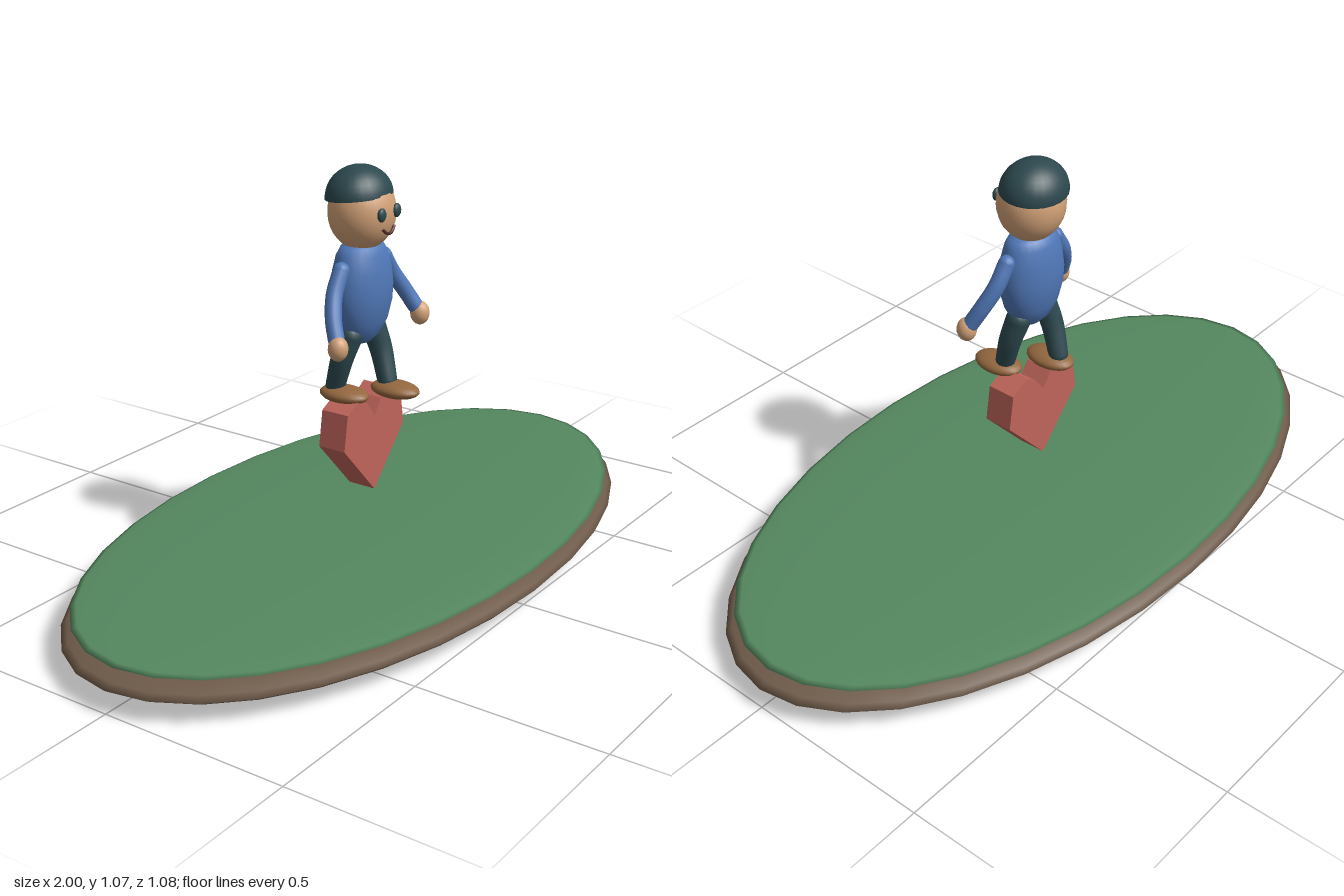
import * as THREE from 'three';

const mat = (name, color, opts = {}) => {
  const m = new THREE.MeshStandardMaterial({ color, ...opts });
  m.name = name;
  return m;
};

export function createModel() {
  const model = new THREE.Group();
  model.name = 'walkerOnHeart';

  const soil = mat('soilBrown', 0x6e5a49);
  const grass = mat('grassGreen', 0x54885f);
  const heartRed = mat('heartRed', 0xbf655a, { flatShading: true });
  const shirt = mat('shirtBlue', 0x5078b8);
  const skin = mat('skin', 0xd3a278);
  const dark = mat('darkTeal', 0x2c484e, { side: THREE.DoubleSide });
  const leather = mat('shoeBrown', 0x94683f);
  const lip = mat('mouthBrown', 0x55302a);

  const add = (name, geo, material, parent = model) => {
    const mesh = new THREE.Mesh(geo, material);
    mesh.name = name;
    parent.add(mesh);
    return mesh;
  };
  const ellipsoid = (name, material, [x, y, z], [rx, ry, rz], w = 24, h = 16, parent = model) => {
    const mesh = add(name, new THREE.SphereGeometry(1, w, h), material, parent);
    mesh.position.set(x, y, z);
    mesh.scale.set(rx, ry, rz);
    return mesh;
  };

  // Tapered tube along a curve, with rounded ends
  const limb = (name, material, points, r0, r1) => {
    const group = new THREE.Group();
    group.name = name;
    const path = new THREE.CatmullRomCurve3(points.map(p => new THREE.Vector3(...p)));
    const segs = 14, radial = 14;
    const geo = new THREE.TubeGeometry(path, segs, 1, radial, false);
    const pos = geo.attributes.position, v = new THREE.Vector3();
    for (let i = 0; i <= segs; i++) {
      const c = path.getPointAt(i / segs);
      const r = THREE.MathUtils.lerp(r0, r1, i / segs);
      for (let j = 0; j <= radial; j++) {
        const k = i * (radial + 1) + j;
        v.fromBufferAttribute(pos, k).sub(c).multiplyScalar(r).add(c);
        pos.setXYZ(k, v.x, v.y, v.z);
      }
    }
    add(name + 'Tube', geo, material, group);
    ellipsoid(name + 'Top', material, points[0], [r0, r0, r0], 14, 10, group);
    ellipsoid(name + 'End', material, points[points.length - 1], [r1, r1, r1], 14, 10, group);
    model.add(group);
  };

  // Oval island
  ellipsoid('soil', soil, [0, 0.059, 0], [1, 0.059, 0.54], 32, 16);
  ellipsoid('grass', grass, [0, 0.103, 0], [0.97, 0.018, 0.525], 32, 16);

  // Faceted heart
  const half = [[0.135, 0.352], [0.12, 0.447], [0.065, 0.475], [0.03, 0.452]];
  const outline = [[0, 0.205], ...half, [0, 0.412], ...half.slice().reverse().map(([x, y]) => [-x, y])];
  const heart = new THREE.Shape(outline.map(p => new THREE.Vector2(...p)));
  const heartGeo = new THREE.ExtrudeGeometry(heart, { depth: 0.08, bevelEnabled: false });
  add('heart', heartGeo.translate(0, 0, -0.04), heartRed);

  // Torso, flattened front to back
  const profile = [[0, 0.604], [0.03, 0.61], [0.058, 0.63], [0.083, 0.668], [0.097, 0.715],
    [0.1, 0.76], [0.094, 0.805], [0.082, 0.845], [0.068, 0.866], [0.04, 0.872], [0, 0.874]];
  const torso = add('torso', new THREE.LatheGeometry(profile.map(p => new THREE.Vector2(...p)), 24), shirt);
  torso.scale.z = 0.69;

  // Head and cap
  ellipsoid('head', skin, [0, 0.953, 0], [0.091, 0.1, 0.086]);
  const cap = add('cap', new THREE.SphereGeometry(1, 24, 10, 0, Math.PI * 2, 0, Math.PI / 2), dark);
  cap.position.set(0, 0.99, -0.008);
  cap.scale.set(0.095, 0.08, 0.083);
  cap.rotation.x = -0.1;

  // Smile
  const smile = new THREE.QuadraticBezierCurve3(
    new THREE.Vector3(-0.026, 0.922, 0.08), new THREE.Vector3(0, 0.89, 0.087), new THREE.Vector3(0.026, 0.922, 0.08));
  add('mouth', new THREE.TubeGeometry(smile, 12, 0.004, 8), lip);

  for (const s of [1, -1]) {
    const side = s > 0 ? 'left' : 'right';
    ellipsoid(side + 'Eye', dark, [s * 0.033, 0.959, 0.083], [0.015, 0.018, 0.009], 16, 12);

    // Arms swing forward
    limb(side + 'Arm', shirt,
      [[s * 0.093, 0.818, 0.002], [s * 0.128, 0.765, 0.006], [s * 0.16, 0.71, 0.026], [s * 0.178, 0.665, 0.048]],
      0.022, 0.021);
    ellipsoid(side + 'Hand', skin, [s * 0.184, 0.648, 0.057], [0.026, 0.032, 0.026], 16, 12);

    // Legs stride, the left one ahead
    const ankle = s > 0 ? 0.042 : -0.045;
    limb(side + 'Leg', dark,
      [[s * 0.052, 0.635, 0], [s * 0.062, 0.575, ankle * 0.4], [s * 0.055, 0.495, ankle]],
      0.033, 0.026);
    ellipsoid(side + 'Shoe', leather, [s * 0.053, 0.475, ankle + 0.026], [0.046, 0.022, 0.071], 20, 14);
  }

  return model;
}
